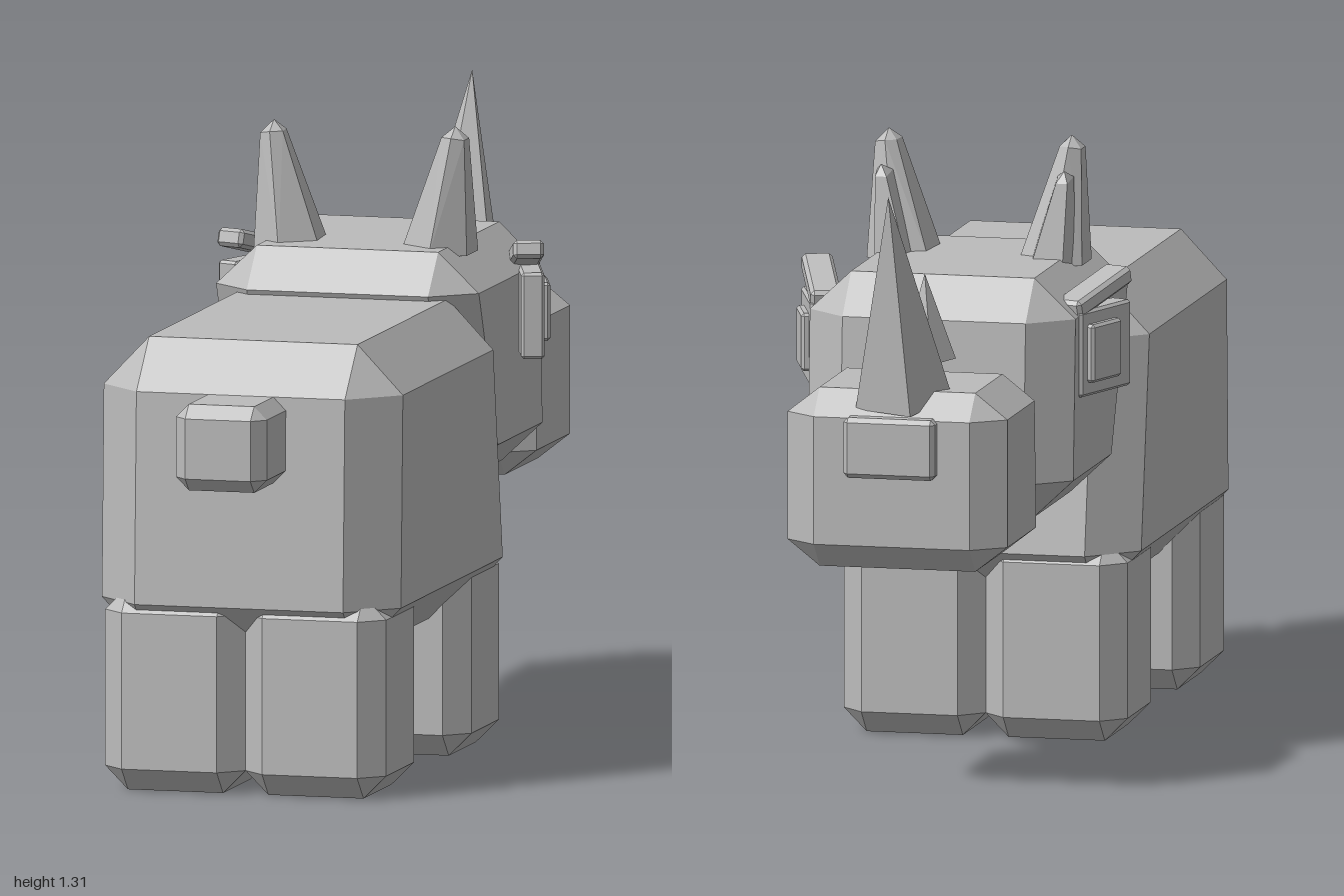
import * as THREE from 'three';
import { ConvexGeometry } from 'three/addons/geometries/ConvexGeometry.js';

// Chamfered block. zLow / zHigh are the [min, max] depths at the lower and upper chamfer lines.
function block(x, y, zLow, zHigh, bevel) {
  const [bx, by, bz] = bevel;
  const cx = (x[0] + x[1]) / 2, hx = (x[1] - x[0]) / 2;
  const pts = [];
  for (const sx of [-1, 1]) for (const top of [0, 1]) for (const back of [0, 1]) {
    const z = (top ? zHigh : zLow)[back];
    const inY = top ? y[1] - by : y[0] + by;
    const inX = cx + sx * (hx - bx);
    const inZ = z + (back ? -bz : bz);
    pts.push(
      new THREE.Vector3(cx + sx * hx, inY, inZ),
      new THREE.Vector3(inX, y[top], inZ),
      new THREE.Vector3(inX, inY, z));
  }
  return new ConvexGeometry(pts);
}

// Chamfered block centred on its own origin
function centredBlock(w, h, d, b) {
  const z = [-d / 2, d / 2];
  return block([-w / 2, w / 2], [-h / 2, h / 2], z, z, [b, b, b]);
}

export function createModel() {
  const model = new THREE.Group();
  const grey = new THREE.MeshStandardMaterial({ color: 0xbcbcbc, flatShading: true });
  grey.name = 'hide grey';

  function add(name, geometry, position = [0, 0, 0], rotation = [0, 0, 0]) {
    const mesh = new THREE.Mesh(geometry, grey);
    mesh.name = name;
    mesh.position.set(...position);
    mesh.rotation.set(...rotation, 'YXZ');
    model.add(mesh);
    return mesh;
  }

  // Trunk, head, snout and tail
  add('body', block([-0.33, 0.33], [0.3, 0.965], [-0.165, 0.835], [-0.09, 0.82], [0.1, 0.105, 0.1]));
  add('head', block([-0.29, 0.29], [0.545, 1.06], [-0.6, -0.09], [-0.58, 0.06], [0.09, 0.085, 0.08]));
  add('snout', block([-0.24, 0.24], [0.495, 0.88], [-0.97, -0.595], [-0.97, -0.61], [0.07, 0.055, 0.055]));
  add('nosePlate', block([-0.1, 0.1], [0.7, 0.83], [-1, -0.94], [-1, -0.94], [0.01, 0.01, 0.01]));
  add('tail', block([-0.1, 0.1], [0.675, 0.86], [0.76, 1], [0.76, 1], [0.028, 0.028, 0.03]));

  // Five-sided horns, each leaning from its base to its tip
  function horn(name, base, tip, radius) {
    const a = new THREE.Vector3(...base), b = new THREE.Vector3(...tip);
    const axis = b.clone().sub(a);
    const geometry = new THREE.ConeGeometry(radius, axis.length(), 5);
    geometry.rotateY(-0.23);
    const mesh = add(name, geometry);
    mesh.position.copy(a).add(b).multiplyScalar(0.5);
    mesh.quaternion.setFromUnitVectors(new THREE.Vector3(0, 1, 0), axis.normalize());
  }
  horn('largeHorn', [0, 0.86, -0.88], [0, 1.31, -1], 0.11);
  horn('smallHorn', [0, 0.905, -0.648], [0, 1.09, -0.665], 0.063);

  for (const s of [-1, 1]) {
    const side = s > 0 ? 'left' : 'right';

    // Legs
    for (const [name, z] of [['FrontLeg', [-0.155, 0.16]], ['HindLeg', [0.51, 0.83]]]) {
      const x = s > 0 ? [0, 0.31] : [-0.31, 0];
      add(side + name, block(x, [0, 0.435], z, z, [0.05, 0.05, 0.05]));
    }

    // Ears: faceted spikes with a smaller spike in front
    const hull = (points) => new ConvexGeometry(points.map(([x, y, z]) => new THREE.Vector3(s * x, y, z)));
    add(side + 'Ear', hull([
      [0.092, 1.05, -0.12], [0.165, 1.04, -0.065], [0.235, 1.04, -0.12],
      [0.235, 1.04, -0.21], [0.165, 1.04, -0.25], [0.1, 1.05, -0.22],
      [0.175, 1.29, -0.135], [0.2, 1.29, -0.12], [0.225, 1.285, -0.135],
      [0.225, 1.285, -0.175], [0.2, 1.29, -0.19], [0.178, 1.29, -0.175],
      [0.2, 1.312, -0.155],
    ]));
    add(side + 'InnerEar', hull([
      [0.12, 1.04, -0.2], [0.22, 1.04, -0.2], [0.205, 1.04, -0.265], [0.135, 1.04, -0.265],
      [0.18, 1.23, -0.2], [0.215, 1.23, -0.2], [0.21, 1.22, -0.24], [0.185, 1.22, -0.24],
      [0.2, 1.245, -0.225],
    ]));

    // Eye plate, raised eye and sloping brow, all turned toward the snout
    const turn = s * 0.33;
    add(side + 'EyePlate', centredBlock(0.05, 0.185, 0.2, 0.006), [s * 0.305, 0.893, -0.37], [0, turn, 0]);
    add(side + 'Eye', centredBlock(0.05, 0.125, 0.115, 0.006), [s * 0.314, 0.893, -0.393], [0, turn, 0]);
    add(side + 'Brow', centredBlock(0.066, 0.04, 0.215, 0.008), [s * 0.297, 1.013, -0.365], [-0.24, turn, 0]);
  }
  return model;
}
